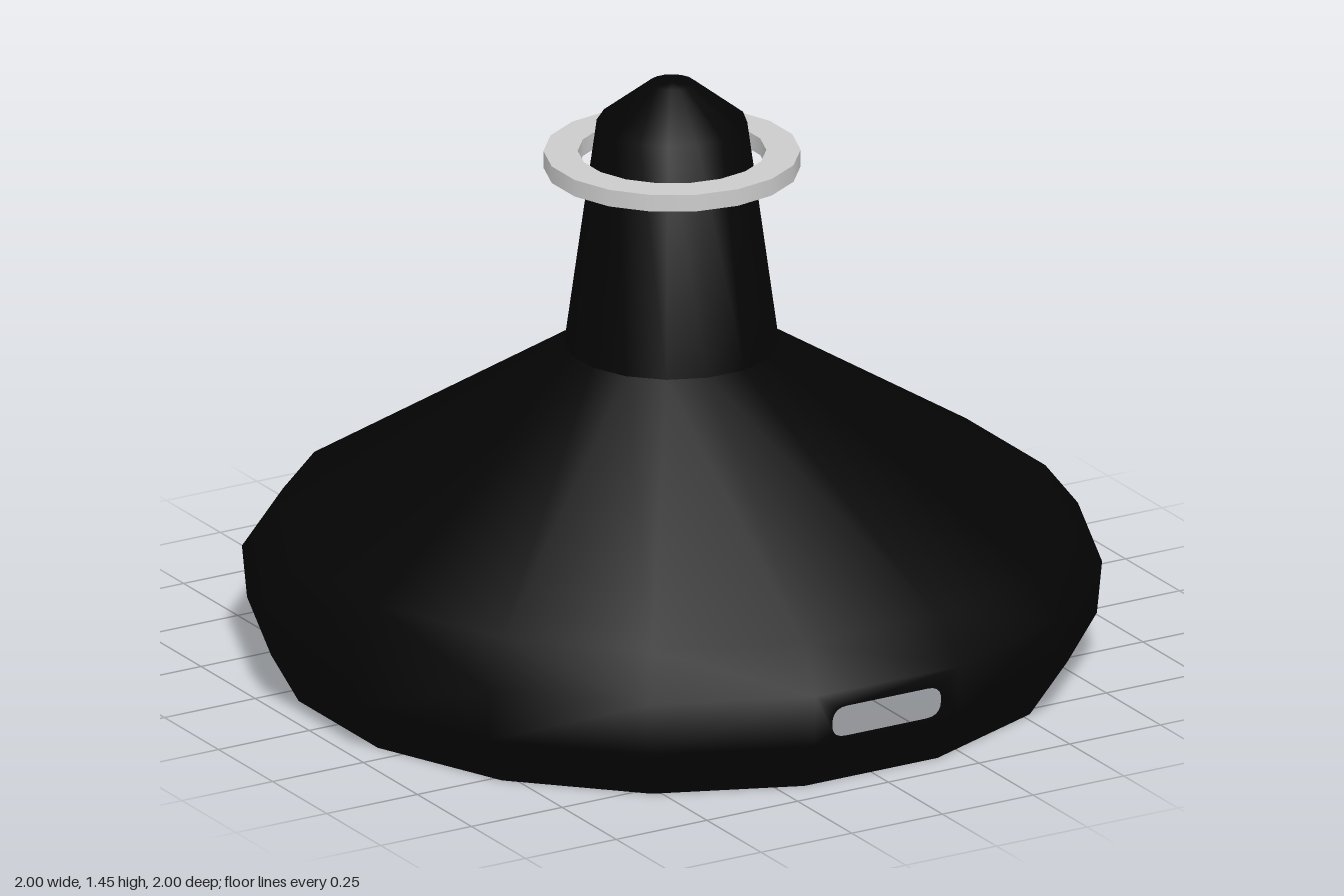
import * as THREE from 'three';
import { mergeGeometries, mergeVertices } from 'three/addons/utils/BufferGeometryUtils.js';

const SIDES = 16;
const HALF = Math.PI / SIDES;

// Lathe geometry; radii are measured to the middle of the flats
function lathe(profile, sides = SIDES, start = HALF) {
  const points = profile.map(([r, y]) => new THREE.Vector2(r / Math.cos(Math.PI / sides), y));
  return new THREE.LatheGeometry(points, sides, start);
}

function part(name, geometry, material) {
  const mesh = new THREE.Mesh(geometry, material);
  mesh.name = name;
  return mesh;
}

// Rounded slot outline
function slotPath(x, y0, y1, r) {
  const p = new THREE.Path();
  p.moveTo(-x + r, y0);
  p.lineTo(x - r, y0);
  p.quadraticCurveTo(x, y0, x, y0 + r);
  p.lineTo(x, y1 - r);
  p.quadraticCurveTo(x, y1, x - r, y1);
  p.lineTo(-x + r, y1);
  p.quadraticCurveTo(-x, y1, -x, y1 - r);
  p.lineTo(-x, y0 + r);
  p.quadraticCurveTo(-x, y0, -x + r, y0);
  return p;
}

// One flat facet of the side wall, optionally pierced by a slot
function wallPanel([r0, y0], [r1, y1], slotted) {
  const w0 = r0 * Math.tan(HALF), w1 = r1 * Math.tan(HALF);
  const shape = new THREE.Shape([
    new THREE.Vector2(-w0, y0), new THREE.Vector2(w0, y0),
    new THREE.Vector2(w1, y1), new THREE.Vector2(-w1, y1),
  ]);
  if (slotted) shape.holes.push(slotPath(0.15, 0.136, 0.214, 0.038));
  const geometry = new THREE.ShapeGeometry(shape, 5);
  const pos = geometry.attributes.position;
  for (let i = 0; i < pos.count; i++) {
    pos.setZ(i, r0 + (r1 - r0) * (pos.getY(i) - y0) / (y1 - y0));
  }
  return geometry;
}

// Open-bottomed thin shell: skirt, slotted wall and shoulder, smoothed as one
function shellGeometry() {
  const lower = [0.988, 0.125], upper = [1, 0.255];
  const pieces = [
    lathe([[0.92, 0], lower]),
    lathe([upper, [0.92, 0.36], [0.25, 0.79]]),
  ];
  for (let i = 0; i < SIDES; i++) {
    const slotted = i % (SIDES / 2) === 0;
    pieces.push(wallPanel(lower, upper, slotted).rotateY(i * 2 * HALF));
  }
  const merged = mergeGeometries(pieces);
  merged.deleteAttribute('normal');
  merged.deleteAttribute('uv');
  const shell = mergeVertices(merged, 1e-4);
  shell.computeVertexNormals();
  return shell;
}

export function createModel() {
  const model = new THREE.Group();
  const black = new THREE.MeshStandardMaterial({ color: 0x040404, side: THREE.DoubleSide });
  const grey = new THREE.MeshStandardMaterial({ color: 0xcccccc });

  model.add(part('shell', shellGeometry(), black));

  // Neck with a blunt tip, flaring to a closed foot inside the shell
  const neck = new THREE.Group();
  neck.name = 'neck';
  neck.add(part('neckFootBottom', lathe([[0, 0.39], [0.52, 0.39]]), black));
  neck.add(part('neckFoot', lathe([[0.52, 0.39], [0.25, 0.79]]), black));
  neck.add(part('neckStem', lathe([
    [0.25, 0.79], [0.175, 1.35], [0.053, 1.447], [0, 1.447],
  ]), black));
  model.add(neck);

  // Loose ring around the neck, one lathe per face to keep its edges sharp
  const ring = new THREE.Group();
  ring.name = 'ring';
  const corners = [[0.22, 1.233], [0.3, 1.233], [0.3, 1.275], [0.22, 1.275]];
  corners.forEach((corner, i) => {
    ring.add(part('ringFace', lathe([corner, corners[(i + 1) % 4]], 18, 0), grey));
  });
  model.add(ring);

  return model;
}
